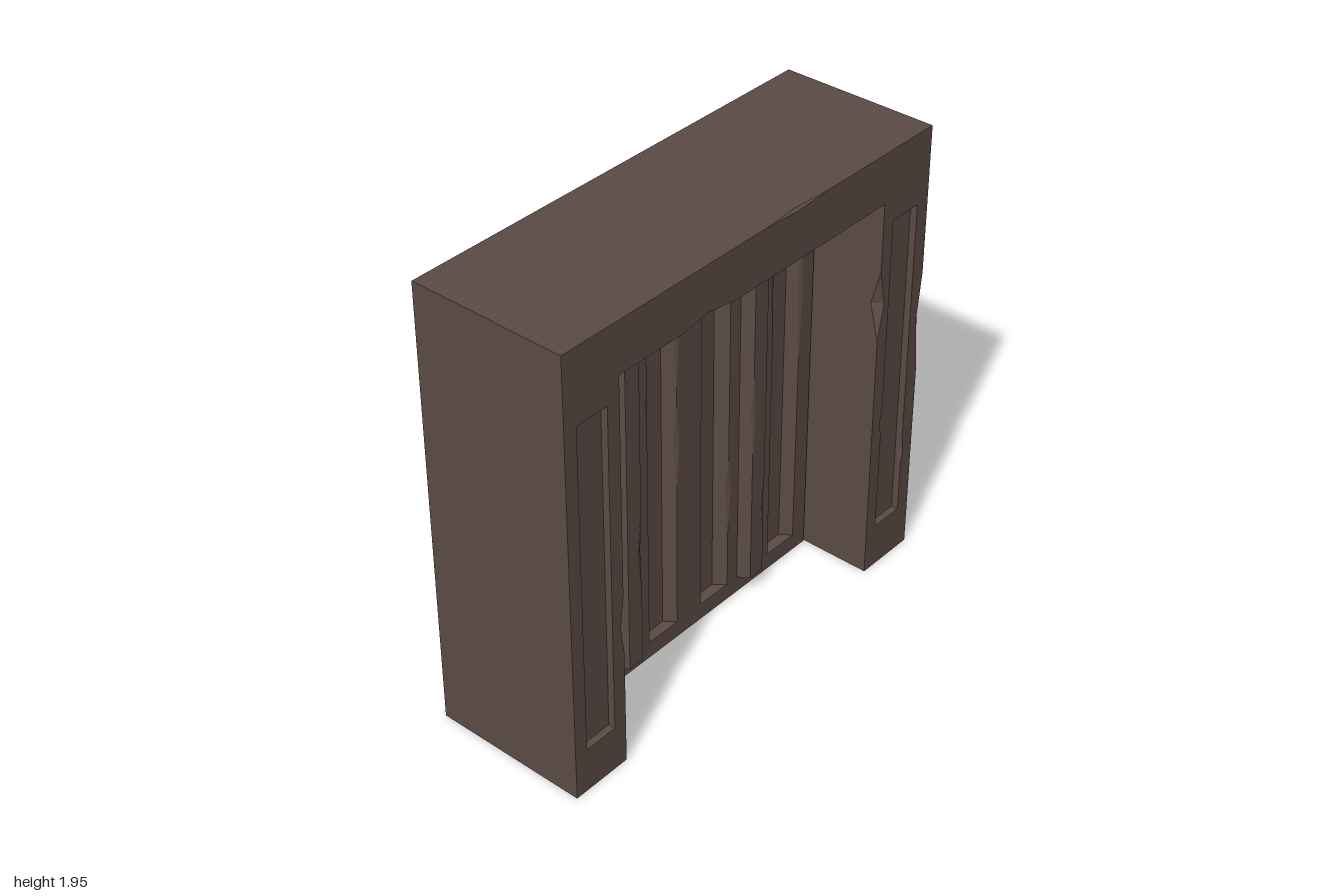
import * as THREE from 'three';

const stone = new THREE.MeshStandardMaterial({ color: 0x5c4b45 });
stone.name = 'brown stone';
stone.side = THREE.DoubleSide;

const FRONT = 0.34, BACK = -0.34, RECESS = 0.03;

// Collects loose triangles, giving crisp flat faces
class Faces {
  constructor() { this.pos = []; }
  tri(...corners) { for (const c of corners) this.pos.push(...c); }
  quad(a, b, c, d) { this.tri(a, b, c); this.tri(a, c, d); }
  // Flat polygon with holes, mapped into space by place(x, y)
  polygon(outline, holes, place, flip = false) {
    const v2 = (l) => l.map((p) => new THREE.Vector2(p[0], p[1]));
    const all = [outline, ...holes].flat();
    for (const [a, b, c] of THREE.ShapeUtils.triangulateShape(v2(outline), holes.map(v2))) {
      const t = [a, b, c].map((i) => place(all[i][0], all[i][1]));
      this.tri(...(flip ? t.reverse() : t));
    }
  }
  mesh(name) {
    const g = new THREE.BufferGeometry();
    g.setAttribute('position', new THREE.Float32BufferAttribute(this.pos, 3));
    g.computeVertexNormals();
    const m = new THREE.Mesh(g, stone);
    m.name = name;
    return m;
  }
}

// Walls running back from an outline; a point with a third value is a chip
// cut into the front edge, that value being how far it reaches down the wall
function walls(f, outline, zBack) {
  const n = outline.length;
  const at = (p, z) => [p[0], p[1], z];
  for (let i = 0; i < n; i++) {
    const a = outline[i], m = outline[(i + 1) % n];
    if (a[2]) continue;
    if (!m[2]) {
      f.quad(at(a, FRONT), at(a, zBack), at(m, zBack), at(m, FRONT));
      continue;
    }
    const b = outline[(i + 2) % n];
    const dx = b[0] - a[0], dy = b[1] - a[1];
    const t = ((m[0] - a[0]) * dx + (m[1] - a[1]) * dy) / (dx * dx + dy * dy);
    const q = [a[0] + dx * t, a[1] + dy * t, FRONT - m[2]];
    const A = at(a, FRONT), B = at(b, FRONT), P = at(m, FRONT);
    f.tri(q, A, at(a, zBack));
    f.tri(q, at(a, zBack), at(b, zBack));
    f.tri(q, at(b, zBack), B);
    f.tri(A, q, P);
    f.tri(q, B, P);
  }
}

function makeFrame() {
  const outline = [
    [-1, 0], [-0.73, 0],
    [-0.73, 0.52], [-0.747, 0.65, 0.03], [-0.73, 0.79],
    [-0.73, 1.735],
    [-0.41, 1.735], [-0.28, 1.757, 0.04], [-0.13, 1.735],
    [0.725, 1.735],
    [0.725, 1.44], [0.757, 1.29, 0.04], [0.725, 1.13],
    [0.725, 0], [1, 0],
    [1, 0.88], [0.975, 1.1, 0.015], [1, 1.31],
    [1, 1.95],
    [0.38, 1.95], [0.2, 1.94, 0.012], [0.03, 1.95],
    [-1, 1.95],
  ];
  // Sunk panels on the two posts
  const leftPanel = [
    [0.785, 0.2], [0.785, 0.65], [0.773, 0.72, 0.02], [0.785, 0.79], [0.785, 1.64],
    [0.935, 1.64], [0.935, 0.57], [0.945, 0.5, 0.02], [0.935, 0.43], [0.935, 0.2],
  ];
  const rightPanel = [[-0.94, 0.2], [-0.94, 1.64], [-0.79, 1.64], [-0.79, 0.2]];
  const panels = [leftPanel, rightPanel];

  const f = new Faces();
  f.polygon(outline, panels, (x, y) => [x, y, FRONT]);
  f.polygon(outline.filter((p) => !p[2]), [], (x, y) => [x, y, BACK], true);
  walls(f, outline, BACK);
  for (const p of panels) {
    walls(f, p, FRONT - RECESS);
    const floor = p.filter((c) => !c[2]).reverse();
    f.polygon(floor, [], (x, y) => [x, y, FRONT - RECESS]);
  }
  return f.mesh('gateFrame');
}

function makeDoor() {
  const X0 = -0.73, X1 = 0.715, Y0 = 0.005, Y1 = 1.725, LOW = 0.08, HIGH = 1.65;
  const Z = 0.03, D = 0.046;
  // Flutes: four x positions, then direction (-1 sunk, 1 raised)
  const flutes = [
    [-0.67, -0.632, -0.545, -0.51, -1],
    [-0.445, -0.415, -0.34, -0.31, 1],
    [-0.25, -0.21, -0.12, -0.085, -1],
    [0.055, 0.09, 0.18, 0.22, -1],
    [0.28, 0.31, 0.385, 0.415, 1],
    [0.475, 0.515, 0.605, 0.64, -1],
  ];
  // Chips on fold lines: fold number -> [low y, high y, size] (several allowed)
  const chips = {
    7: [[0.38, 0.82, 0.02]], 9: [[1.1, 1.32, 0.012]],
    12: [[0.75, 1.12, 0.014], [1.2, 1.62, 0.012]],
    16: [[0.38, 0.7, 0.014]], 18: [[0.7, 1.05, 0.012]], 19: [[0.24, 0.56, 0.014]],
    21: [[1.1, 1.6, 0.016]], 24: [[0.95, 1.6, 0.014]],
  };
  const folds = [[X0, Z]];
  for (const [a, b, c, d, s] of flutes) folds.push([a, Z], [b, Z + s * D], [c, Z + s * D], [d, Z]);
  folds.push([X1, Z]);

  const f = new Faces();
  for (let i = 0; i < folds.length - 1; i++) {
    const [ax, az] = folds[i], [bx, bz] = folds[i + 1];
    const len = Math.hypot(bx - ax, bz - az);
    const place = (t, y) => [ax + (bx - ax) * t / len, y, az + (bz - az) * t / len];
    // Edge of this strip, notched wherever its fold is chipped
    const edge = (k, t, inward) => [[t, LOW],
      ...(chips[k] || []).flatMap(([l, h, s]) => [[t, l], [t + inward * s, (l + h) / 2], [t, h]]),
      [t, HIGH]];
    f.polygon([...edge(i + 1, len, -1), ...edge(i, 0, 1).reverse()], [], place);
    // Small facets closing each chip
    if (i > 0) {
      const [px, pz] = folds[i - 1];
      const pl = Math.hypot(ax - px, az - pz);
      for (const [l, h, s] of chips[i] || []) {
        const m = (l + h) / 2, q = place(s, m);
        const p = [ax - (ax - px) * s / pl, m, az - (az - pz) * s / pl];
        f.tri(p, [ax, l, az], q);
        f.tri(p, q, [ax, h, az]);
      }
    }
  }
  // Top and bottom ends of the flutes
  for (const [a, b, c, d, s] of flutes) {
    for (const [y, up] of [[LOW, -1], [HIGH, 1]]) {
      const q = [[a, y, Z], [b, y, Z + s * D], [c, y, Z + s * D], [d, y, Z]];
      f.quad(...(up > 0 ? q : q.reverse()));
    }
  }
  // Plain rails above and below
  for (const [l, h] of [[Y0, LOW], [HIGH, Y1]]) {
    f.quad([X0, l, Z], [X1, l, Z], [X1, h, Z], [X0, h, Z]);
  }
  return f.mesh('flutedDoor');
}

export function createModel() {
  const model = new THREE.Group();
  model.name = 'stoneGate';
  model.add(makeFrame(), makeDoor());
  return model;
}
